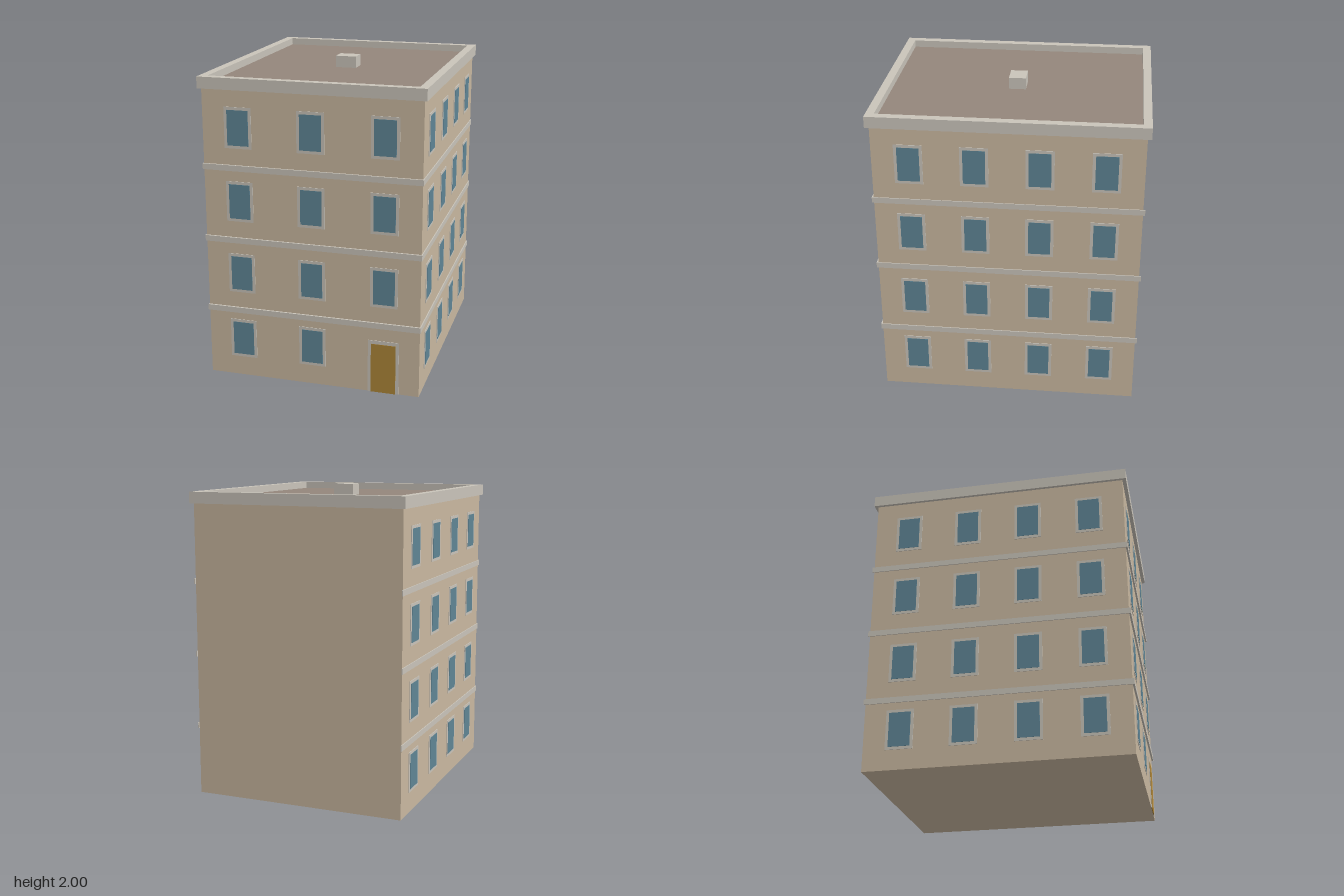
import * as THREE from 'three';

const mat = (name, color) => new THREE.MeshStandardMaterial({ name, color });

export function createModel() {
  const wall = mat('wall', 0xc9b8a0);
  const trim = mat('trim', 0xc9c4ba);
  const glass = mat('glass', 0x5f8595);
  const doorPaint = mat('doorPaint', 0xad8538);
  const roofing = mat('roofing', 0x94867c);

  const W = 0.697, D = 0.833, H = 1.9; // half width, half depth, wall height
  const building = new THREE.Group();
  building.name = 'apartmentBuilding';

  const box = (parent, name, material, size, pos) => {
    const mesh = new THREE.Mesh(new THREE.BoxGeometry(...size), material);
    mesh.name = name;
    mesh.position.set(...pos);
    parent.add(mesh);
    return mesh;
  };

  box(building, 'walls', wall, [2 * W, H, 2 * D], [0, H / 2, 0]);

  // Facades: local +z points out of the wall
  const facade = (name, angle, distance) => {
    const g = new THREE.Group();
    g.name = name;
    g.rotation.y = angle;
    g.position.set(Math.sin(angle) * distance, 0, Math.cos(angle) * distance);
    building.add(g);
    return g;
  };
  const front = facade('frontFacade', 0, D);
  const sides = [facade('leftFacade', Math.PI / 2, W), facade('rightFacade', -Math.PI / 2, W)];

  // Thin frame with the pane laid just in front of it
  const addWindow = (parent, x, y) => {
    box(parent, 'windowFrame', trim, [0.176, 0.26, 0.004], [x, y, 0.002]);
    box(parent, 'windowPane', glass, [0.138, 0.223, 0.006], [x, y, 0.003]);
  };
  const rows = [0.26, 0.711, 1.188, 1.66];
  rows.forEach((y, floor) => {
    for (const x of [-0.466, 0, 0.466]) {
      if (floor > 0 || x < 0.4) addWindow(front, x, y);
    }
    for (const side of sides) {
      for (const x of [-0.604, -0.201, 0.201, 0.604]) addWindow(side, x, y);
    }
  });

  // Front door
  box(front, 'doorFrame', trim, [0.2, 0.353, 0.004], [0.466, 0.1765, 0.002]);
  box(front, 'door', doorPaint, [0.16, 0.33, 0.006], [0.466, 0.165, 0.003]);

  // Floor bands on the front and both sides; the back is plain
  for (const y of [0.458, 0.933, 1.405]) {
    box(front, 'floorBand', trim, [1.406, 0.037, 0.012], [0, y, 0.006]);
    for (const side of sides) {
      box(side, 'floorBand', trim, [1.69, 0.037, 0.006], [0, y, 0.003]);
    }
  }

  // Parapet ring around the flat roof
  const rect = (Shape, x, z) => new Shape([[-x, -z], [x, -z], [x, z], [-x, z]].map((p) => new THREE.Vector2(...p)));
  const ring = rect(THREE.Shape, 0.716, 0.857);
  ring.holes.push(rect(THREE.Path, 0.662, 0.804));
  const ringGeometry = new THREE.ExtrudeGeometry(ring, { depth: 0.073, bevelEnabled: false });
  ringGeometry.rotateX(-Math.PI / 2);
  const parapet = new THREE.Mesh(ringGeometry, trim);
  parapet.name = 'parapet';
  parapet.position.y = 1.898;
  building.add(parapet);

  box(building, 'roofDeck', roofing, [1.33, 0.025, 1.614], [0, 1.9125, 0]);
  box(building, 'roofVent', trim, [0.137, 0.08, 0.11], [0, 1.96, 0]);

  return building;
}
